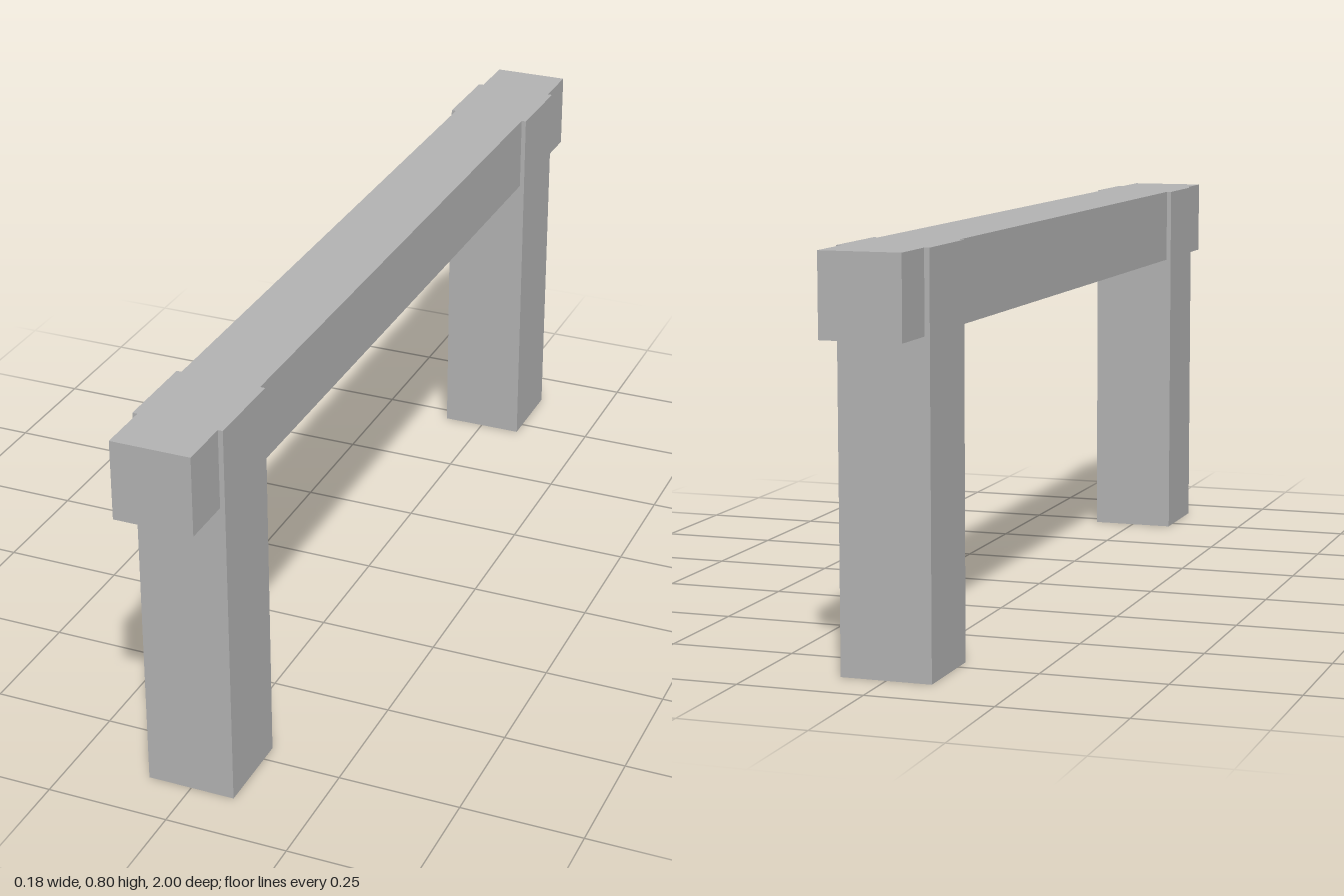
import * as THREE from 'three';

export function createModel() {
  const model = new THREE.Group();
  model.name = 'beamOnPosts';
  const grey = new THREE.MeshStandardMaterial({ color: 0xb2b2b2 });
  grey.name = 'grey';

  const addBox = (name, w, h, d, y, z) => {
    const mesh = new THREE.Mesh(new THREE.BoxGeometry(w, h, d), grey);
    mesh.name = name;
    mesh.position.set(0, y, z);
    model.add(mesh);
  };

  // Long crossbeam, flush with the tops of the posts
  addBox('beam', 0.16, 0.16, 2, 0.72, 0);

  // Two square posts, slightly wider than the beam
  addBox('frontPost', 0.18, 0.8, 0.18, 0.4, 0.8);
  addBox('backPost', 0.18, 0.8, 0.18, 0.4, -0.8);

  return model;
}
